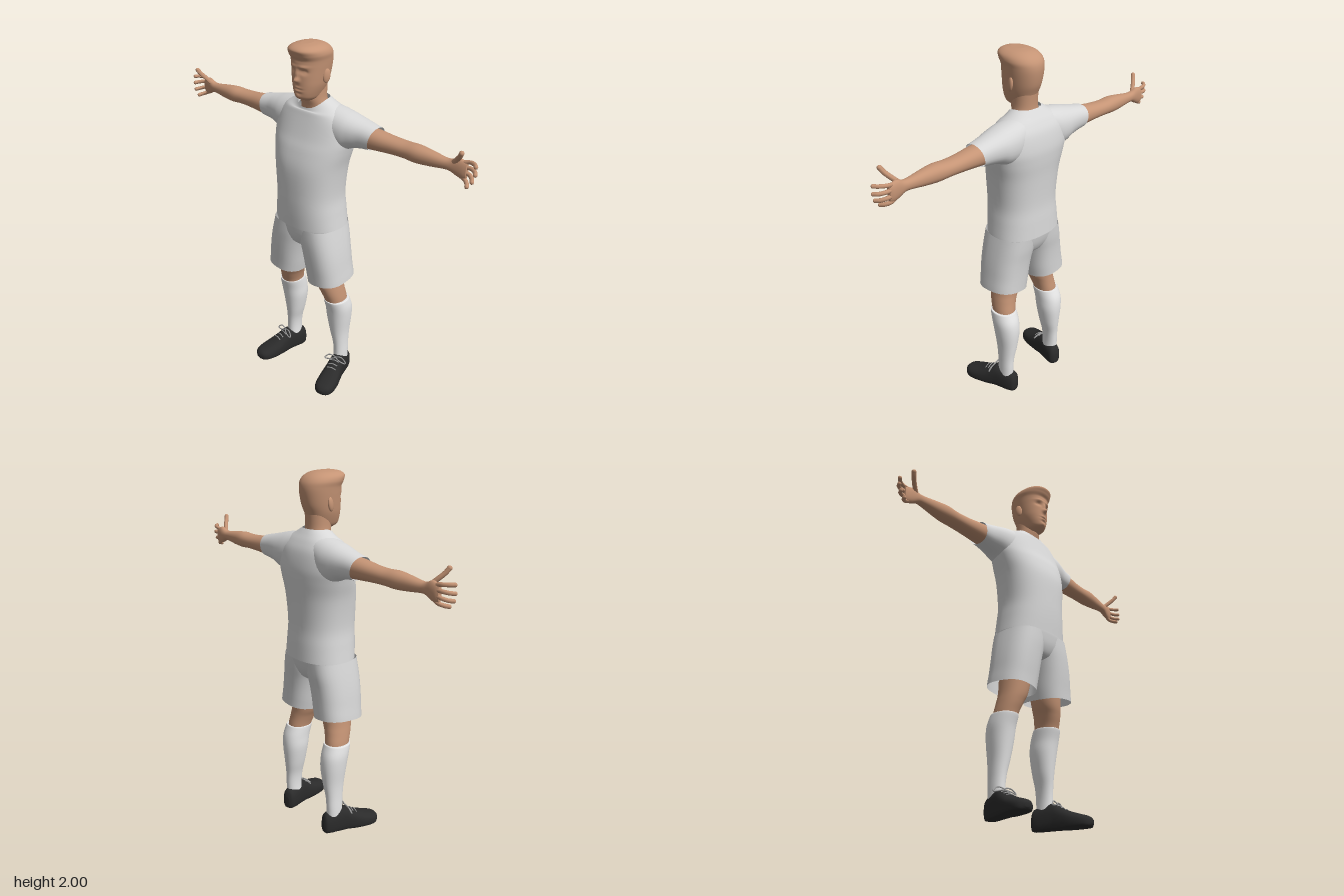
import * as THREE from 'three';

const mat = (name, color, side = THREE.FrontSide) => {
  const m = new THREE.MeshStandardMaterial({ color, side });
  m.name = name;
  return m;
};

// Catmull-Rom blend of four numbers
const blend = (a, b, c, d, t) =>
  0.5 * (2 * b + (c - a) * t + (2 * a - 5 * b + 4 * c - d) * t * t + (3 * b - a - 3 * c + d) * t * t * t);

// Axis orders (along, u, v), all right-handed
const AXES = {
  x: (t, u, v) => new THREE.Vector3(t, u, v),
  y: (t, u, v) => new THREE.Vector3(v, t, u),
  z: (t, u, v) => new THREE.Vector3(u, v, t),
};

// Smooth skin through sections [t, uMin, uMax, vMin, vMax], t rising
function loft(axis, rows, { seg = 32, steps = 5, power = 2.2, open = false, tweak } = {}) {
  const pos = [], index = [], rings = [];
  const row = i => rows[Math.min(Math.max(i, 0), rows.length - 1)];
  for (let i = 0; i < rows.length - 1; i++) {
    for (let k = 0; k < steps; k++) {
      rings.push(row(i).map((b, n) => blend(row(i - 1)[n], b, row(i + 1)[n], row(i + 2)[n], k / steps)));
    }
  }
  rings.push(rows[rows.length - 1]);
  const add = (t, u, v) => {
    const p = AXES[axis](t, u, v);
    if (tweak) tweak(p);
    pos.push(p.x, p.y, p.z);
  };
  const bend = c => Math.sign(c) * Math.abs(c) ** (2 / power);
  for (const [t, u0, u1, v0, v1] of rings) {
    for (let j = 0; j < seg; j++) {
      const a = (j / seg) * Math.PI * 2;
      add(t, (u0 + u1) / 2 + bend(Math.cos(a)) * (u1 - u0) / 2, (v0 + v1) / 2 + bend(Math.sin(a)) * (v1 - v0) / 2);
    }
  }
  for (let i = 0; i < rings.length - 1; i++) {
    for (let j = 0; j < seg; j++) {
      const a = i * seg + j, b = i * seg + (j + 1) % seg;
      index.push(a, b, a + seg, b, b + seg, a + seg);
    }
  }
  if (!open) {
    const last = (rings.length - 1) * seg, c = rings.length * seg;
    for (const r of [rings[0], rings[rings.length - 1]]) add(r[0], (r[1] + r[2]) / 2, (r[3] + r[4]) / 2);
    for (let j = 0; j < seg; j++) {
      const k = (j + 1) % seg;
      index.push(c, k, j, c + 1, last + j, last + k);
    }
  }
  const g = new THREE.BufferGeometry();
  g.setAttribute('position', new THREE.Float32BufferAttribute(pos, 3));
  g.setIndex(index);
  g.computeVertexNormals();
  return g;
}

function mirrored(geo) {
  const g = geo.clone().scale(-1, 1, 1), ix = g.index.array;
  for (let i = 0; i < ix.length; i += 3) [ix[i], ix[i + 1]] = [ix[i + 1], ix[i]];
  g.computeVertexNormals();
  return g;
}

const tube = (pts, r, closed = false) => new THREE.TubeGeometry(
  new THREE.CatmullRomCurve3(pts.map(p => new THREE.Vector3(...p)), closed), 20, r, 8, closed);

export function createModel() {
  const model = new THREE.Group();
  model.name = 'footballer';
  const body = new THREE.Group();
  body.name = 'body';
  body.position.x = 0.005;
  model.add(body);

  const skin = mat('skin', 0xc59475);
  const shirt = mat('shirtCloth', 0xd8d8d8, THREE.DoubleSide);
  const shorts = mat('shortsCloth', 0xd4d4d4, THREE.DoubleSide);
  const sock = mat('sockKnit', 0xeeeeee);
  const leather = mat('shoeLeather', 0x2b2b2b);
  const laceMat = mat('lace', 0x9c9c9c);

  const part = (name, geo, m, parent = body) => {
    const mesh = new THREE.Mesh(geo, m);
    mesh.name = name;
    parent.add(mesh);
  };
  const pair = (name, geo, m, parent = body) => {
    part(name + 'Left', geo, m, parent);
    part(name + 'Right', mirrored(geo), m, parent);
  };

  // Head: features are soft bumps and hollows [x, y, width, height, depth]
  const features = [
    [0, 1.825, 0.013, 0.013, 0.022], [0, 1.855, 0.010, 0.024, 0.012],
    [0.036, 1.868, 0.017, 0.011, -0.013], [-0.036, 1.868, 0.017, 0.011, -0.013],
    [0.034, 1.893, 0.026, 0.008, 0.006], [-0.034, 1.893, 0.026, 0.008, 0.006],
    [0.036, 1.866, 0.009, 0.006, 0.005], [-0.036, 1.866, 0.009, 0.006, 0.005],
    [0, 1.786, 0.020, 0.005, 0.005], [0, 1.777, 0.024, 0.003, -0.005],
    [0, 1.768, 0.018, 0.005, 0.005], [0, 1.755, 0.020, 0.005, -0.004],
    [0, 1.737, 0.018, 0.010, 0.005], [0, 1.925, 0.06, 0.010, -0.004],
  ];
  part('head', loft('y', [
    [1.708, -0.05, 0.05, -0.035, 0.035], [1.724, -0.07, 0.082, -0.053, 0.053],
    [1.75, -0.085, 0.093, -0.065, 0.065], [1.79, -0.102, 0.096, -0.078, 0.078],
    [1.83, -0.118, 0.097, -0.085, 0.085], [1.88, -0.128, 0.097, -0.091, 0.091],
    [1.92, -0.130, 0.099, -0.095, 0.095], [1.95, -0.122, 0.112, -0.099, 0.099],
    [1.975, -0.100, 0.121, -0.090, 0.090], [1.992, -0.065, 0.100, -0.064, 0.064],
    [2.0, -0.02, 0.06, -0.025, 0.025],
  ], {
    seg: 80, steps: 9, tweak: p => {
      if (p.z <= 0.02) return;
      const { x, y } = p;
      for (const [fx, fy, w, h, d] of features) p.z += d * Math.exp(-(((x - fx) / w) ** 2) - ((y - fy) / h) ** 2);
    },
  }), skin);
  pair('ear', new THREE.SphereGeometry(1, 20, 14).scale(0.011, 0.037, 0.021)
    .rotateY(-0.35).rotateX(-0.15).translate(0.091, 1.837, -0.022), skin);
  part('neck', loft('y', [
    [1.6, -0.12, 0.02, -0.08, 0.08], [1.67, -0.102, 0.024, -0.074, 0.074],
    [1.72, -0.096, 0.035, -0.066, 0.066], [1.8, -0.1, 0.03, -0.066, 0.066],
  ]), skin);

  // Shirt: trunk with a collar that dips at the front
  part('shirtTrunk', loft('y', [
    [1.01, -0.180, 0.142, -0.205, 0.205], [1.1, -0.176, 0.148, -0.195, 0.195],
    [1.2, -0.171, 0.150, -0.188, 0.188], [1.35, -0.178, 0.146, -0.203, 0.203],
    [1.45, -0.187, 0.122, -0.226, 0.226], [1.52, -0.188, 0.094, -0.238, 0.238],
    [1.6, -0.174, 0.066, -0.225, 0.225], [1.65, -0.150, 0.050, -0.182, 0.182],
    [1.685, -0.125, 0.044, -0.122, 0.122], [1.71, -0.106, 0.040, -0.082, 0.082],
  ], {
    seg: 48, power: 2.35, open: true, tweak: p => {
      const f = Math.min(Math.max((p.z + 0.05) / 0.09, 0), 1);
      p.y -= 0.045 * f * f * THREE.MathUtils.smoothstep(p.y, 1.64, 1.71);
    },
  }), shirt);
  pair('sleeve', loft('x', [
    [0.08, 1.50, 1.685, -0.155, 0.025], [0.15, 1.46, 1.675, -0.165, 0.035],
    [0.21, 1.463, 1.663, -0.163, 0.032], [0.26, 1.483, 1.65, -0.157, 0.02],
    [0.32, 1.495, 1.636, -0.148, 0.004], [0.385, 1.502, 1.622, -0.140, -0.003],
  ], { open: true, tweak: p => { if (p.x > 0.2) p.x += (p.y - 1.62) * 0.2 * Math.min((p.x - 0.2) / 0.15, 1); } }), shirt);

  // Shorts: seat plus two flared legs
  part('shortsSeat', loft('y', [
    [0.868, -0.07, 0.05, -0.05, 0.05], [0.89, -0.12, 0.10, -0.12, 0.12],
    [0.94, -0.150, 0.125, -0.185, 0.185], [1.0, -0.165, 0.134, -0.198, 0.198],
    [1.03, -0.165, 0.134, -0.196, 0.196],
  ], { power: 2.4 }), shorts);
  pair('shortsLeg', loft('y', [
    [0.663, -0.143, 0.117, 0.034, 0.260], [0.72, -0.143, 0.120, 0.024, 0.253],
    [0.8, -0.144, 0.126, 0.012, 0.243], [0.87, -0.148, 0.130, -0.002, 0.231],
    [0.94, -0.156, 0.132, -0.02, 0.216], [1.01, -0.160, 0.130, -0.03, 0.199],
  ], {
    power: 2.5, open: true, tweak: p => {
      const k = 1 - THREE.MathUtils.smoothstep(p.y, 0.66, 0.8);
      p.y += k * (0.11 * (p.x - 0.04) + 0.08 * Math.max(0, 0.05 - p.z));
    },
  }), shorts);

  // Bare legs, socks
  pair('leg', loft('y', [
    [0.48, -0.108, 0.02, 0.114, 0.226], [0.54, -0.104, 0.034, 0.108, 0.224],
    [0.6, -0.096, 0.055, 0.090, 0.216], [0.67, -0.094, 0.072, 0.062, 0.206],
    [0.85, -0.11, 0.09, 0.03, 0.19],
  ]), skin);
  pair('sock', loft('y', [
    [0.07, -0.115, -0.02, 0.15, 0.222], [0.15, -0.119, -0.021, 0.152, 0.222],
    [0.22, -0.122, -0.017, 0.145, 0.222], [0.3, -0.132, -0.006, 0.125, 0.226],
    [0.4, -0.141, 0.009, 0.107, 0.238], [0.47, -0.136, 0.021, 0.105, 0.243],
    [0.525, -0.117, 0.036, 0.104, 0.238], [0.535, -0.112, 0.036, 0.106, 0.234],
  ]), sock);

  // Shoes, toes turned outward, with tied laces
  const place = g => g.rotateY(0.25).translate(0.187, 0, -0.07);
  pair('shoe', place(loft('z', [
    [-0.073, -0.015, 0.015, 0.01, 0.07], [-0.06, -0.034, 0.034, -0.015, 0.108],
    [-0.03, -0.041, 0.041, -0.025, 0.122], [0.02, -0.044, 0.044, -0.025, 0.134],
    [0.06, -0.046, 0.046, -0.025, 0.135], [0.10, -0.051, 0.051, -0.025, 0.112],
    [0.16, -0.059, 0.059, -0.025, 0.084], [0.22, -0.057, 0.057, -0.02, 0.064],
    [0.255, -0.042, 0.042, -0.01, 0.052], [0.273, -0.012, 0.012, 0.012, 0.034],
  ], { power: 2.5, tweak: p => { p.y = Math.max(p.y, 0); } })), leather);
  for (const s of [-1, 1]) {
    pair(s > 0 ? 'laceLoopOuter' : 'laceLoopInner', place(tube([
      [0, 0.136, 0.072], [s * 0.04, 0.142, 0.07], [s * 0.068, 0.115, 0.078], [s * 0.035, 0.122, 0.084],
    ], 0.0035, true)), laceMat);
  }
  for (let i = 0; i < 3; i++) {
    const z = 0.085 + i * 0.022, y = 0.123 - i * 0.012;
    pair('laceBar' + (i + 1), place(tube([[-0.028, y - 0.007, z], [0, y, z], [0.028, y - 0.007, z]], 0.003)), laceMat);
  }

  // Arms and hands, palms forward
  const arms = new THREE.Group();
  arms.name = 'arms';
  model.add(arms);
  pair('arm', loft('x', [
    [0.25, 1.50, 1.625, -0.135, 0], [0.39, 1.509, 1.612, -0.128, -0.012],
    [0.48, 1.515, 1.602, -0.125, -0.022], [0.56, 1.517, 1.598, -0.124, -0.026],
    [0.63, 1.513, 1.601, -0.121, -0.025], [0.7, 1.517, 1.594, -0.112, -0.034],
    [0.78, 1.526, 1.583, -0.101, -0.047], [0.815, 1.525, 1.585, -0.099, -0.052],
    [0.85, 1.508, 1.600, -0.100, -0.058], [0.88, 1.501, 1.594, -0.098, -0.064],
    [0.898, 1.508, 1.586, -0.092, -0.07],
  ]), skin, arms);
  const digits = {
    indexFinger: [[0.87, 1.583, -0.08], [0.91, 1.592, -0.085], [0.94, 1.594, -0.07], [0.956, 1.594, -0.052]],
    middleFinger: [[0.87, 1.56, -0.082], [0.915, 1.562, -0.086], [0.945, 1.558, -0.07], [0.958, 1.555, -0.05]],
    ringFinger: [[0.87, 1.535, -0.082], [0.91, 1.53, -0.084], [0.935, 1.522, -0.066], [0.948, 1.518, -0.045]],
    littleFinger: [[0.865, 1.513, -0.08], [0.89, 1.502, -0.08], [0.912, 1.493, -0.064], [0.924, 1.488, -0.045]],
    thumb: [[0.83, 1.575, -0.07], [0.862, 1.608, -0.05], [0.882, 1.632, -0.033], [0.894, 1.653, -0.022]],
  };
  for (const [name, pts] of Object.entries(digits)) {
    const r = name === 'thumb' ? 0.0125 : 0.0105;
    pair(name, tube(pts, r), skin, arms);
    pair(name + 'Tip', new THREE.SphereGeometry(r, 10, 8).translate(...pts[3]), skin, arms);
  }
  return model;
}
